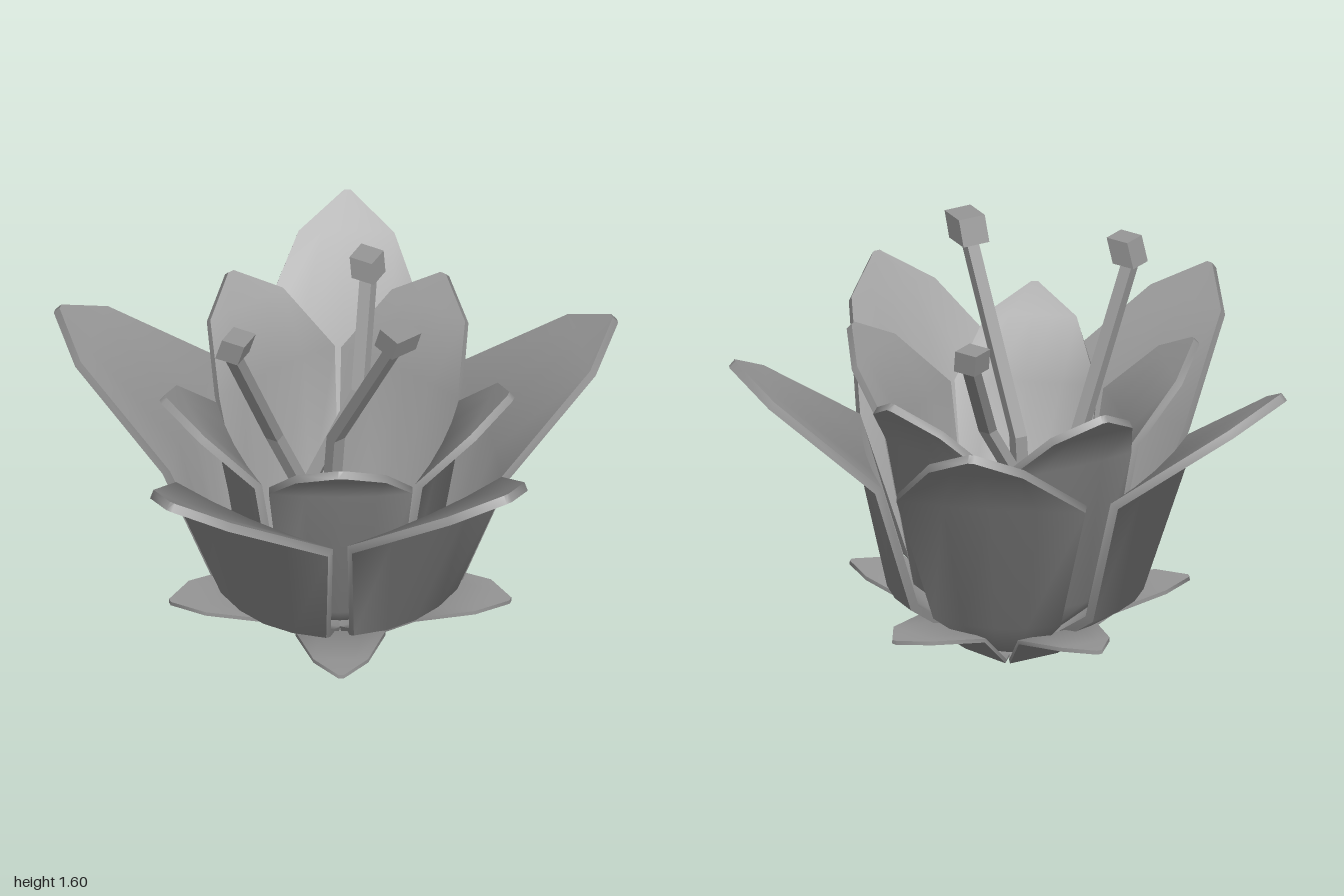
import * as THREE from 'three';
import { toCreasedNormals } from 'three/addons/utils/BufferGeometryUtils.js';

const material = new THREE.MeshStandardMaterial({ color: 0x979797 });
const AXIS = { x: 0.035, z: -0.085 };

// Closed leaf shell. Rows: [radius, height, half width, how far the edges curl inward].
function leafGeometry(rows, thickness, columns = 4) {
  const pos = [], index = [];
  const ring = 2 * (columns + 1);
  rows.forEach(([r, y, w, cup], j) => {
    const a = rows[Math.max(j - 1, 0)], b = rows[Math.min(j + 1, rows.length - 1)];
    const n = new THREE.Vector2(b[1] - a[1], a[0] - b[0]).normalize().multiplyScalar(thickness);
    for (let k = 0; k < ring; k++) {
      const inner = k > columns;
      const u = ((inner ? ring - 1 - k : k) / columns) * 2 - 1;
      const inset = inner ? 1 : 0;
      pos.push(u * w, y - n.y * inset, r - cup * u * u - n.x * inset);
    }
  });
  for (let j = 0; j < rows.length - 1; j++) {
    for (let k = 0; k < ring; k++) {
      const a = j * ring + k, b = j * ring + (k + 1) % ring;
      index.push(a, b, b + ring, a, b + ring, a + ring);
    }
  }
  const top = (rows.length - 1) * ring;
  for (let k = 1; k < ring - 1; k++) {
    index.push(0, k + 1, k, top, top + k, top + k + 1);
  }
  const geometry = new THREE.BufferGeometry();
  geometry.setAttribute('position', new THREE.Float32BufferAttribute(pos, 3));
  geometry.setIndex(index);
  return toCreasedNormals(geometry, 1.0);
}

// Square bar between two points, keeping both ends level.
function shearedBar(from, to, size, turn) {
  const geometry = new THREE.BoxGeometry(size, 1, size).rotateY(turn);
  const p = geometry.attributes.position;
  for (let i = 0; i < p.count; i++) {
    const end = p.getY(i) > 0 ? to : from;
    p.setXYZ(i, p.getX(i) + end[0], end[1], p.getZ(i) + end[2]);
  }
  geometry.computeVertexNormals();
  return geometry;
}

function add(parent, name, geometry) {
  const mesh = new THREE.Mesh(geometry, material);
  mesh.name = name;
  parent.add(mesh);
  return mesh;
}

// Ring of leaves turned around the flower's axis, each with its own reach.
function whorl(name, geometry, degrees, reach) {
  const group = new THREE.Group();
  group.name = name + 's';
  group.position.set(AXIS.x, 0, AXIS.z);
  degrees.forEach((d, i) => {
    const leaf = add(group, name, geometry);
    leaf.rotation.y = THREE.MathUtils.degToRad(d);
    leaf.scale.z = reach[i];
  });
  return group;
}

export function createModel() {
  const flower = new THREE.Group();
  flower.name = 'flower';

  // Outer petals
  const outer = leafGeometry([
    [0.03, 0.06, 0.03, 0], [0.17, 0.075, 0.1, 0.02], [0.465, 0.29, 0.235, 0.06],
    [0.575, 0.81, 0.35, 0.025], [0.925, 1.09, 0.175, 0.005], [1.045, 1.19, 0.012, 0],
  ], 0.033);
  flower.add(whorl('outerPetal', outer, [0, 67.5, 142, -143, -71.5], [1, 1, 0.98, 1.04, 1.04]));

  // Inner petals, set in the gaps
  const inner = leafGeometry([
    [0.03, 0.07, 0.03, 0], [0.13, 0.1, 0.09, 0.02], [0.36, 0.31, 0.21, 0.04],
    [0.435, 0.9, 0.262, 0.02], [0.595, 1.085, 0.165, 0], [0.69, 1.175, 0.012, 0],
  ], 0.03);
  const gaps = [36, 108, 180, -108, -36];
  flower.add(whorl('innerPetal', inner, gaps, [0.965, 0.97, 1, 1, 0.985]));

  // Sepals
  const sepal = leafGeometry([
    [0.03, 0.034, 0.03, 0], [0.155, 0.036, 0.1, 0], [0.34, 0.195, 0.165, 0],
    [0.55, 0.23, 0.1, 0], [0.655, 0.238, 0.01, 0],
  ], 0.015);
  flower.add(whorl('sepal', sepal, gaps, [1, 0.98, 0.985, 1, 1]));

  // Stem stub
  const stem = add(flower, 'stem',
    new THREE.CylinderGeometry(0.045, 0.045, 0.07, 6).toNonIndexed());
  stem.geometry.computeVertexNormals();
  stem.position.set(AXIS.x, 0.035, AXIS.z);

  // Stamens: filament points from base to anther, anther top, turn
  const base = [AXIS.x, 0.07, AXIS.z];
  const stamens = [
    { path: [base, [-0.03, 0.5, -0.14], [-0.18, 0.88, -0.195], [-0.455, 1.45, -0.083]],
      top: [-0.445, 1.545, -0.055], turn: 0.45 },
    { path: [base, [0.013, 0.45, -0.12], [0.013, 0.86, -0.08], [0.013, 1.5, 0.285]],
      top: [0.013, 1.595, 0.32], turn: 0 },
    { path: [base, [-0.02, 0.55, -0.22], [0.19, 0.95, -0.17], [0.355, 1.29, -0.342]],
      top: [0.358, 1.375, -0.358], turn: 0.45 },
  ];
  stamens.forEach(({ path, top, turn }) => {
    const stamen = new THREE.Group();
    stamen.name = 'stamen';
    for (let i = 0; i < path.length - 1; i++) {
      add(stamen, 'filament', shearedBar(path[i], path[i + 1], 0.048, turn));
    }
    add(stamen, 'anther', shearedBar(path[path.length - 1], top, turn ? 0.092 : 0.108, turn));
    flower.add(stamen);
  });

  return flower;
}
